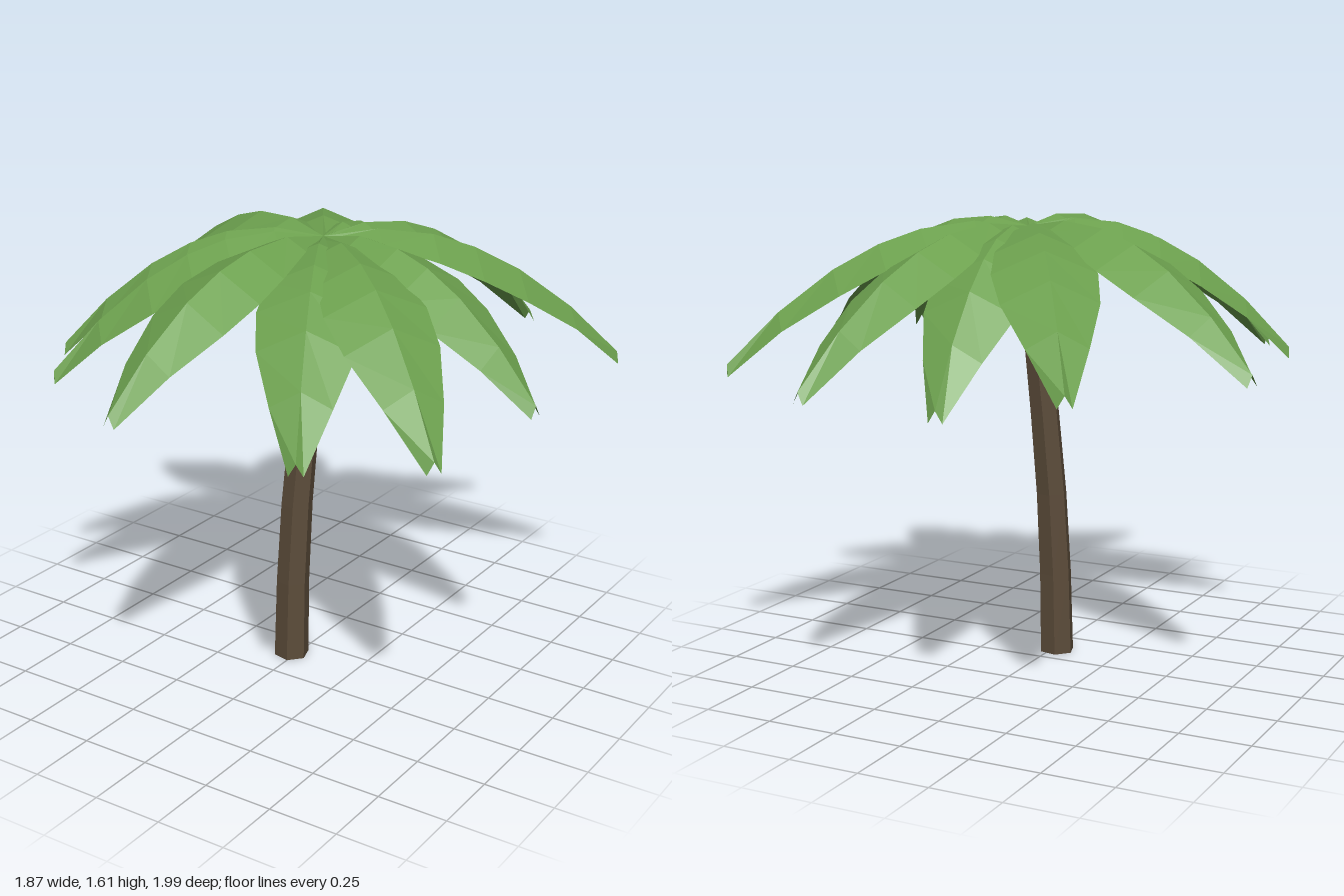
import * as THREE from 'three';

const bark = new THREE.MeshStandardMaterial({ color: 0x5c4c3a, flatShading: true });
bark.name = 'bark brown';
const leaf = new THREE.MeshStandardMaterial({ color: 0x6ca04e, flatShading: true, side: THREE.DoubleSide });
leaf.name = 'leaf green';
const husk = new THREE.MeshStandardMaterial({ color: 0x663625, flatShading: true });
husk.name = 'husk brown';

const crown = new THREE.Vector3(0.05, 1.575, 0);

// Frond tips: x, ridge height, z
const tips = [
  [0.36, 1.11, -0.99], [0.86, 1.12, -0.68], [0.93, 1.17, 0.11], [0.86, 1.14, 0.64],
  [0.47, 1.10, 0.80], [-0.10, 1.20, 0.99], [-0.62, 1.15, 0.65], [-0.79, 1.15, 0.39],
  [-0.93, 1.17, -0.38], [-0.52, 1.15, -0.88], [-0.08, 1.07, -0.89],
];

// Stations along a frond: distance, half width, drop of the edges below the ridge
const stations = [
  [0, 0.012, 0.01], [0.18, 0.085, 0.035], [0.36, 0.15, 0.065],
  [0.5, 0.175, 0.075], [0.65, 0.16, 0.075], [0.83, 0.1, 0.055], [1, 0.024, 0.04],
];

// Arched leaf with a raised middle ridge and drooping edges
function frondGeometry([tx, ty, tz]) {
  const dx = tx - crown.x, dz = tz - crown.z;
  const length = Math.hypot(dx, dz);
  const px = -dz / length, pz = dx / length;
  const rise = 0.3 + (ty - 1.2) * 0.8;
  const fall = crown.y + rise - ty;
  const points = [], index = [];
  stations.forEach(([s, w, drop], i) => {
    const x = crown.x + dx * s, z = crown.z + dz * s;
    const y = crown.y + rise * s - fall * s * s;
    points.push(x + px * w, y - drop, z + pz * w, x, y, z, x - px * w, y - drop, z - pz * w);
    if (i === 0) return;
    for (let k = 0; k < 2; k++) {
      const a = (i - 1) * 3 + k, b = i * 3 + k;
      index.push(a, b, b + 1, a, b + 1, a + 1);
    }
  });
  const g = new THREE.BufferGeometry();
  g.setAttribute('position', new THREE.Float32BufferAttribute(points, 3));
  g.setIndex(index);
  const flat = g.toNonIndexed();
  flat.computeVertexNormals();
  return flat;
}

// Six-sided tapered trunk, bent along a curve
function trunkGeometry() {
  const height = 1.45;
  const path = new THREE.CatmullRomCurve3([
    [-0.02, 0, 0.1], [-0.012, 0.45, 0.09], [0.012, 0.9, 0.062], [0.036, 1.25, 0.03], [0.05, height, 0.005],
  ].map((p) => new THREE.Vector3(...p)));
  const g = new THREE.CylinderGeometry(0.045, 0.064, height, 6, 6, false, 0.31);
  const pos = g.attributes.position;
  for (let i = 0; i < pos.count; i++) {
    const t = THREE.MathUtils.clamp(pos.getY(i) / height + 0.5, 0, 1);
    const c = path.getPoint(t);
    pos.setXYZ(i, pos.getX(i) + c.x, c.y, pos.getZ(i) + c.z);
  }
  g.computeVertexNormals();
  return g;
}

export function createModel() {
  const model = new THREE.Group();
  model.name = 'palmTree';

  const trunk = new THREE.Mesh(trunkGeometry(), bark);
  trunk.name = 'trunk';
  model.add(trunk);

  // Faceted husk ball under the leaves
  const heart = new THREE.Mesh(new THREE.IcosahedronGeometry(0.115, 1), husk);
  heart.name = 'crownHeart';
  heart.position.set(0.05, 1.46, 0);
  model.add(heart);

  const fronds = new THREE.Group();
  fronds.name = 'fronds';
  tips.forEach((tip, i) => {
    const frond = new THREE.Mesh(frondGeometry(tip), leaf);
    frond.name = `frond${i + 1}`;
    fronds.add(frond);
  });
  model.add(fronds);
  return model;
}
